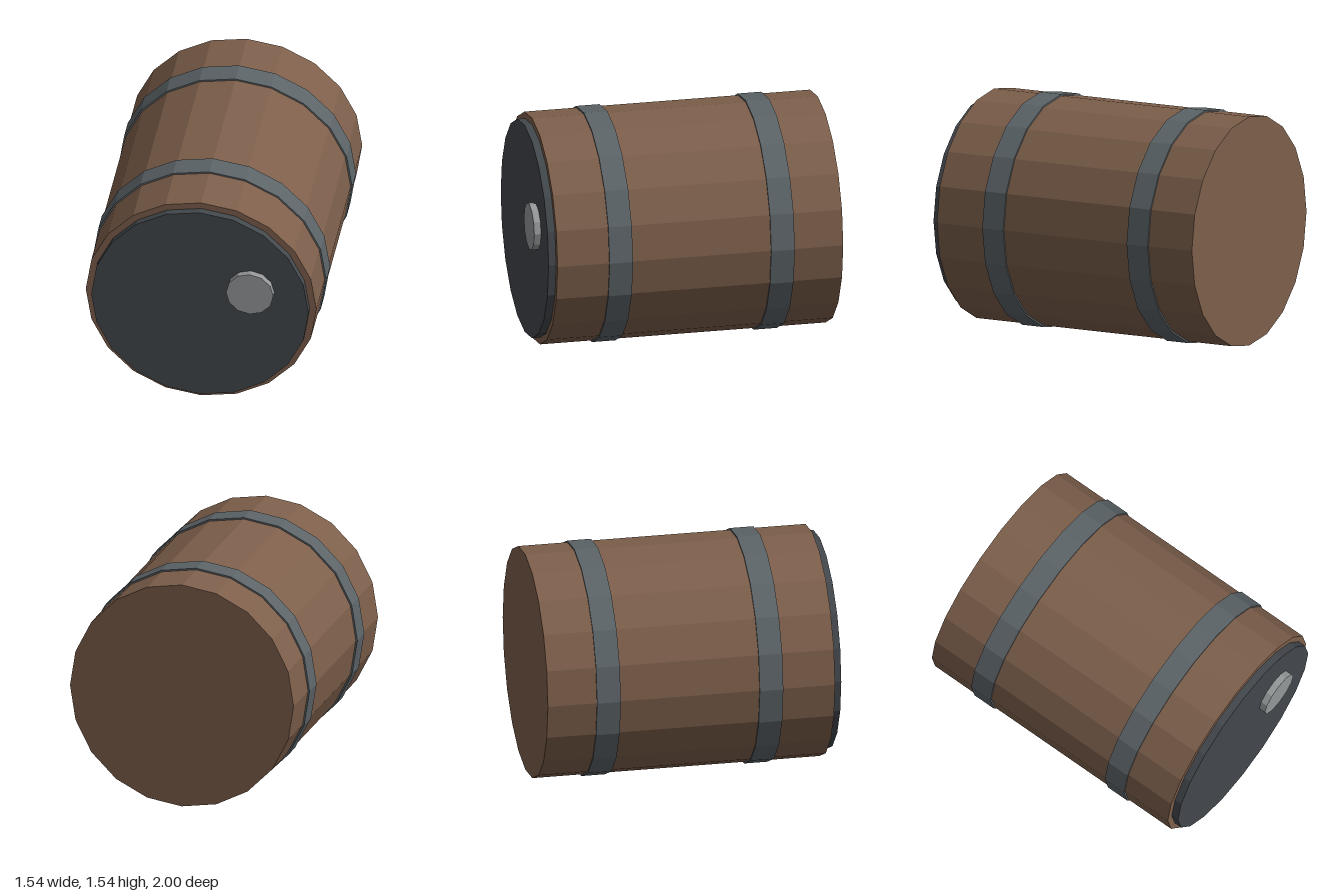
import * as THREE from 'three';

const AXIS_Y = 0.774;

const paint = (color) => new THREE.MeshStandardMaterial({ color, flatShading: true });

// Faceted disc or drum lying along z, from zBack to zFront
function drum(name, radius, sides, zBack, zFront, material, x = 0, y = AXIS_Y) {
  const geometry = new THREE.CylinderGeometry(radius, radius, zFront - zBack, sides);
  geometry.rotateX(Math.PI / 2);
  const mesh = new THREE.Mesh(geometry, material);
  mesh.name = name;
  mesh.position.set(x, y, (zBack + zFront) / 2);
  return mesh;
}

export function createModel() {
  const wood = paint(0x7d5f4b);
  const iron = paint(0x5c6468);
  const darkIron = paint(0x43484d);
  const steel = paint(0x95999a);

  const keg = new THREE.Group();
  keg.name = 'keg';

  // Wooden body
  keg.add(drum('body', 0.76, 20, -1, 0.905, wood));

  // Iron hoops
  keg.add(drum('frontHoop', 0.771, 20, 0.404, 0.56, iron));
  keg.add(drum('backHoop', 0.771, 20, -0.675, -0.518, iron));

  // Front lid with an off-centre bung
  keg.add(drum('lid', 0.716, 20, 0.9, 0.955, darkIron));
  keg.add(drum('bung', 0.156, 12, 0.95, 1, steel, 0.335, 0.912));

  return keg;
}
